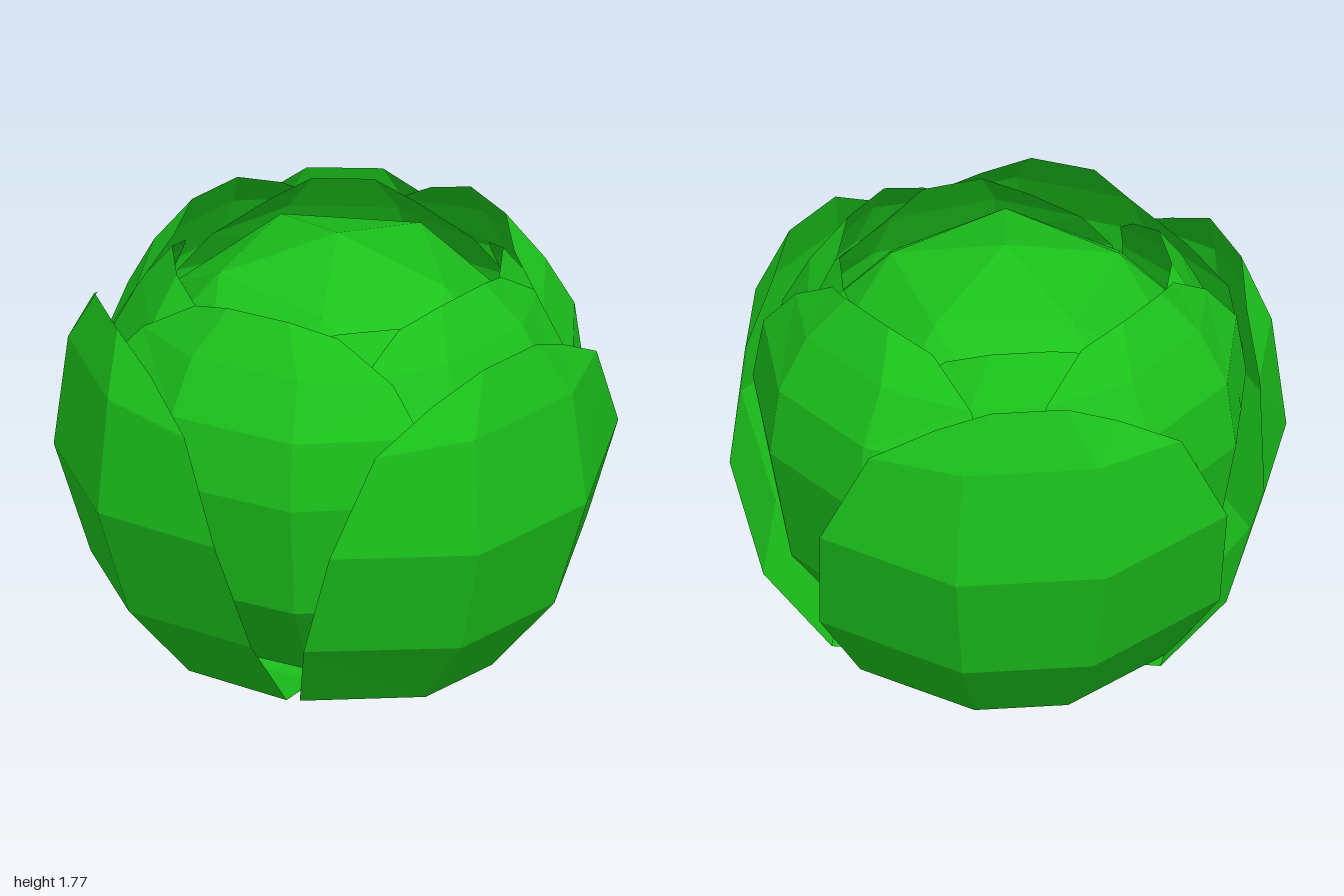
import * as THREE from 'three';

const D = Math.PI / 180;

// Leaf rows from base to tip: [radius, height, half width in degrees, rise at the side edges]
const OUTER = [
  [0.05, 0.09, 58, 0], [0.28, 0.06, 58, 0.03], [0.62, 0.155, 58, 0.045], [0.87, 0.47, 54, 0.06],
  [1.0, 0.91, 48, 0.055], [0.95, 1.355, 38, -0.02], [0.86, 1.575, 23, -0.1],
];
const INNER = [
  [0.05, 0.13, 50, 0], [0.56, 0.27, 52, 0], [0.84, 0.64, 51, 0], [0.925, 1.1, 49, 0],
  [0.89, 1.36, 47, 0], [0.78, 1.56, 42, -0.03], [0.65, 1.73, 27, -0.06],
];

// Curved leaf sheet of three flat strips, wrapped around the head
function leafGeometry(rows, azimuth, scale, lift) {
  const pos = [], index = [];
  rows.forEach(([r, y, half, rise], i) => {
    const inner = Math.min(16, half * 0.4);
    // keeps each side strip flat where the leaf narrows
    const edgeR = r * Math.cos(inner * D) / Math.cos((half - 2 * inner) * D);
    [[-half, edgeR], [-inner, r], [inner, r], [half, edgeR]].forEach(([angle, radius], j) => {
      const a = (azimuth + angle) * D;
      const h = y + (j % 3 ? 0 : rise) + (i > 3 ? lift : 0);
      pos.push(Math.sin(a) * radius * scale, h, Math.cos(a) * radius * scale);
      if (i && j) {
        const p = i * 4 + j, q = p - 4;
        // diagonals mirrored on the left strip
        if (j === 1) index.push(q - 1, q, p - 1, q, p, p - 1);
        else index.push(q - 1, q, p, q - 1, p, p - 1);
      }
    });
  });
  const g = new THREE.BufferGeometry();
  g.setAttribute('position', new THREE.Float32BufferAttribute(pos, 3));
  g.setIndex(index);
  const flat = g.toNonIndexed();
  flat.computeVertexNormals();
  return flat;
}

export function createModel() {
  const group = new THREE.Group();
  group.name = 'leafyHead';
  const green = new THREE.MeshStandardMaterial({ color: 0x1cc21c, flatShading: true, side: THREE.DoubleSide });
  green.name = 'leafGreen';

  const add = (name, geometry) => {
    const mesh = new THREE.Mesh(geometry, green);
    mesh.name = name;
    group.add(mesh);
    return mesh;
  };
  // Each leaf: [azimuth, scale, lift of the upper rows]
  const addLeaves = (name, rows, leaves) => leaves.forEach((leaf, i) =>
    add(name + (i + 1), leafGeometry(rows, ...leaf)));

  // Faceted heart with a vertex at the top
  const core = new THREE.IcosahedronGeometry(0.83, 1);
  core.rotateZ(-Math.atan(2 / (1 + Math.sqrt(5))));
  add('core', core).position.y = 0.94;

  // Leaves filling the gaps close to the heart
  addLeaves('heartLeaf', INNER, [[40, 0.93, -0.06], [132, 0.93, -0.05], [228, 0.93, -0.05], [325, 0.93, -0.06]]);

  // Tall inner leaves
  addLeaves('innerLeaf', INNER, [[2, 0.955, 0], [75, 1, 0], [180, 0.965, 0], [287, 1, 0]]);

  // Wide outer leaves
  addLeaves('outerLeaf', OUTER, [[0, 1.02, 0], [132, 1.0, 0.015], [240, 1.03, 0]]);

  // Short crooked stalk under the head
  const stem = add('stem', new THREE.CylinderGeometry(0.14, 0.12, 0.16, 6));
  stem.position.set(-0.01, 0.089, 0.02);
  stem.rotation.z = -0.08;

  return group;
}
